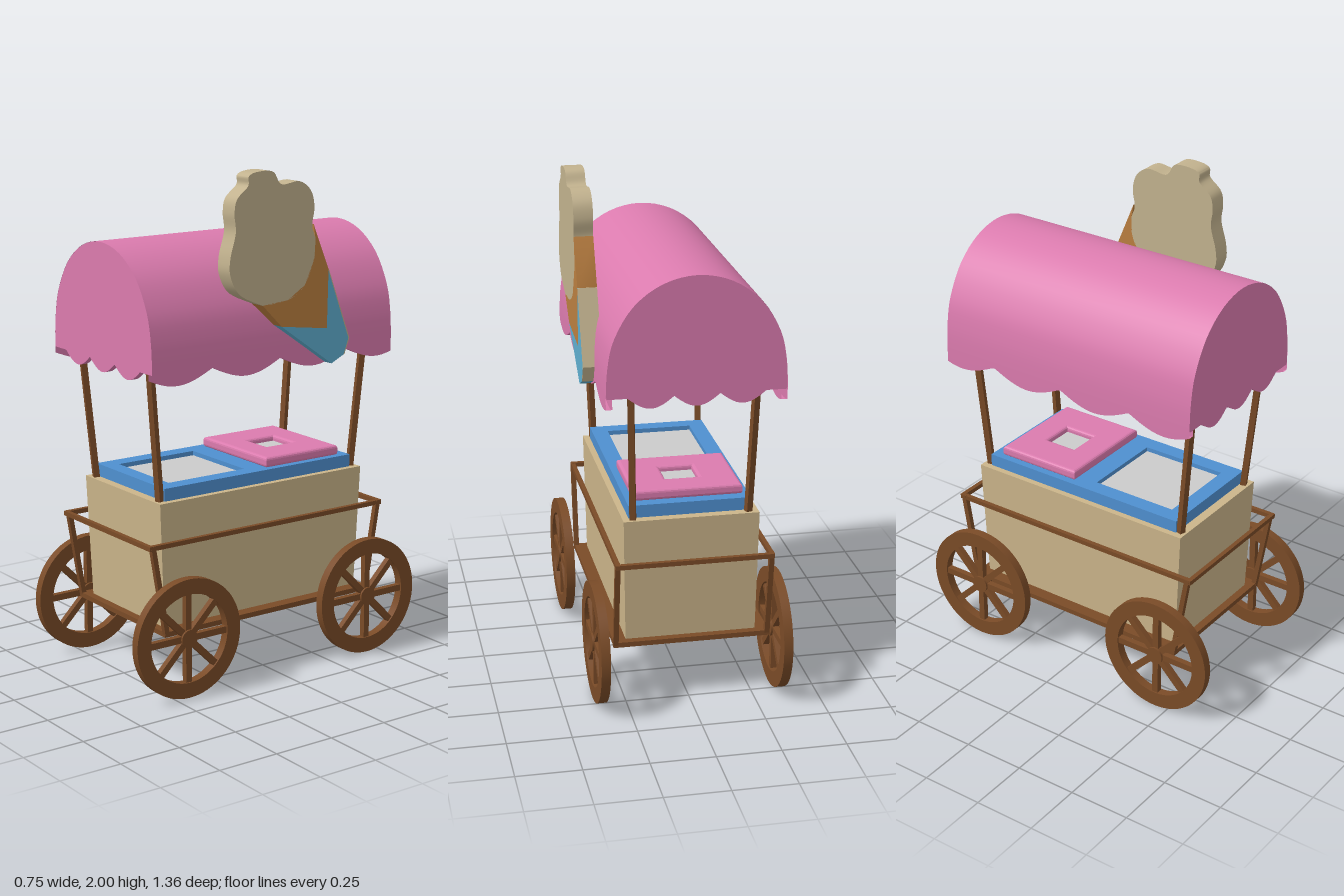
import * as THREE from 'three';
import { toCreasedNormals } from 'three/addons/utils/BufferGeometryUtils.js';

const mat = (color) => new THREE.MeshStandardMaterial({ color });
const brown = mat(0x7a4b27), pink = mat(0xdb7bae), tan = mat(0xcbb58a), blue = mat(0x4f90d0);
const sky = mat(0x5fafd0), orange = mat(0xbb7f40), cream = mat(0xc2b28e), grey = mat(0xcccccc);
pink.side = THREE.DoubleSide;
const CX = -0.013; // the cart's centre line

function add(parent, name, geometry, material, x = 0, y = 0, z = 0) {
  const mesh = new THREE.Mesh(geometry, material);
  mesh.name = name;
  mesh.position.set(x, y, z);
  parent.add(mesh);
  return mesh;
}

// Square bar between two points
function bar(parent, name, a, b, w) {
  const from = new THREE.Vector3(...a), to = new THREE.Vector3(...b);
  const mesh = add(parent, name, new THREE.BoxGeometry(w, w, from.distanceTo(to) + w * 0.8), brown);
  mesh.position.copy(from).lerp(to, 0.5);
  mesh.lookAt(to);
}

const shapeOf = (pts) => new THREE.Shape(pts.map((p) => new THREE.Vector2(...p)));
const rect = (w, d, x = 0, z = 0) => shapeOf([
  [x - w / 2, z - d / 2], [x + w / 2, z - d / 2], [x + w / 2, z + d / 2], [x - w / 2, z + d / 2]]);

// Flat slab with a window; shape y points to -z
function slab(outer, hole, depth, bevel = 0) {
  outer.holes.push(hole);
  const g = new THREE.ExtrudeGeometry(outer, {
    depth: depth - 2 * bevel, bevelEnabled: bevel > 0, bevelSize: bevel, bevelThickness: bevel,
    bevelOffset: -bevel, bevelSegments: 3 });
  return g.translate(0, 0, bevel).rotateX(-Math.PI / 2);
}

function wheel() {
  const group = new THREE.Group();
  const rim = new THREE.Shape().absarc(0, 0, 0.238, 0, Math.PI * 2);
  rim.holes.push(new THREE.Path().absarc(0, 0, 0.177, 0, Math.PI * 2, true));
  const g = new THREE.ExtrudeGeometry(rim, { depth: 0.036, bevelEnabled: false, curveSegments: 36 });
  add(group, 'rim', toCreasedNormals(g.translate(0, 0, -0.018).rotateY(Math.PI / 2), 0.6), brown);
  for (let i = 0; i < 4; i++) {
    add(group, 'spokePair', new THREE.BoxGeometry(0.024, 0.37, 0.026), brown).rotation.x = i * Math.PI / 4;
  }
  add(group, 'hub', new THREE.CylinderGeometry(0.036, 0.036, 0.04, 20).rotateZ(Math.PI / 2), brown);
  return group;
}

function canopy() {
  const group = new THREE.Group();
  const half = [[0.343, 1.29], [0.337, 1.39], [0.312, 1.5], [0.24, 1.62], [0.13, 1.7]];
  const knots = [...half.map(([x, y]) => [-x, y]), [0, 1.728], ...half.map(([x, y]) => [x, y]).reverse()];
  const arch = new THREE.SplineCurve(knots.map((p) => new THREE.Vector2(...p))).getPoints(40);
  const Z = 0.573, steps = 72;

  // Curved roof: thick arch section swept along z, its hem following the scallops
  const ring = (z) => {
    const hem = 1.27 - 0.05 * Math.abs(Math.sin(Math.PI * (z + 0.02) / 0.32));
    const outer = [[-0.343, hem], ...arch.map((p) => [p.x, p.y]), [0.343, hem]];
    const inner = outer.map(([x, y]) => [x * 0.93, y > 1.285 ? 1.285 + (y - 1.285) * 0.95 : y]).reverse();
    return [...outer, ...inner];
  };
  const pos = [], idx = [], n = ring(0).length;
  for (let j = 0; j <= steps; j++) {
    const z = -Z + 2 * Z * j / steps;
    for (const [x, y] of ring(z)) pos.push(x, y, z);
    for (let i = 0; i < n && j < steps; i++) {
      const a = j * n + i, b = j * n + (i + 1) % n;
      idx.push(a, a + n, b, b, a + n, b + n);
    }
  }
  const g = new THREE.BufferGeometry();
  g.setAttribute('position', new THREE.Float32BufferAttribute(pos, 3));
  g.setIndex(idx);
  add(group, 'canopyRoof', toCreasedNormals(g, 0.6), pink);

  // End panels with three scallops between short straight corners
  const edge = arch.map((p) => [p.x * 0.998, p.y - 0.001]);
  edge.push([0.34, 1.272]);
  for (let i = 0; i <= 36; i++) {
    const x = 0.262 - 0.524 * i / 36;
    edge.push([x, 1.272 - 0.044 * Math.abs(Math.sin(Math.PI * i / 12))]);
  }
  edge.push([-0.34, 1.272]);
  for (const z of [-Z, Z - 0.025]) {
    add(group, 'canopyEnd', new THREE.ExtrudeGeometry(shapeOf(edge), { depth: 0.025, bevelEnabled: false }), pink, 0, 0, z);
  }
  group.position.x = CX;
  return group;
}

// Upright sign plate; points are given as [z, y]
function sign() {
  const group = new THREE.Group();
  const plate = (name, shape, material) => {
    const g = new THREE.ExtrudeGeometry(shape, { depth: 0.075, bevelEnabled: false, curveSegments: 5 });
    add(group, name, toCreasedNormals(g.rotateY(-Math.PI / 2), 0.6), material, 0.374);
  };
  const scoop = new THREE.Shape();
  scoop.moveTo(0.1, 1.49);
  scoop.splineThru([[-0.02, 1.5], [-0.1, 1.55], [-0.145, 1.65], [-0.15, 1.72], [-0.133, 1.775], [-0.143, 1.845],
    [-0.125, 1.91], [-0.07, 1.948], [0.015, 1.942], [0.055, 1.992], [0.13, 1.995], [0.167, 1.98], [0.17, 1.945],
    [0.22, 1.9], [0.232, 1.845], [0.226, 1.775], [0.25, 1.685], [0.25, 1.615], [0.205, 1.54], [0.1, 1.49]]
    .map((p) => new THREE.Vector2(...p)));
  plate('signScoop', scoop, cream);
  plate('signCone', shapeOf([[0.1, 1.49], [0.01, 1.4], [-0.21, 1.37], [-0.215, 1.6], [-0.14, 1.78],
    [-0.15, 1.72], [-0.145, 1.65], [-0.1, 1.55], [-0.02, 1.5]]), orange);
  plate('signWrapper', shapeOf([[0.01, 1.4], [-0.235, 1.228], [-0.295, 1.257], [-0.318, 1.32],
    [-0.213, 1.6], [-0.21, 1.37]]), sky);
  plate('signWrapperEdge', shapeOf([[-0.295, 1.257], [-0.299, 1.257], [-0.323, 1.32], [-0.217, 1.6], [-0.213, 1.6], [-0.318, 1.32]]), cream);
  return group;
}

export function createModel() {
  const model = new THREE.Group();
  model.name = 'streetFoodCart';

  // Body, a little wider at the top
  const box = new THREE.BoxGeometry(0.53, 0.51, 0.98);
  const p = box.attributes.position;
  for (let i = 0; i < p.count; i++) {
    if (p.getY(i) < 0) p.setXYZ(i, p.getX(i) * 0.97, p.getY(i), p.getZ(i) * 0.955);
  }
  box.computeVertexNormals();
  add(model, 'body', box, tan, CX, 0.495, 0);
  add(model, 'floor', new THREE.BoxGeometry(0.615, 0.02, 1.0), brown, CX, 0.243, 0);

  // Counter, freezer window and raised lid
  add(model, 'counter', slab(rect(0.48, 0.906), rect(0.35, 0.36, 0, -0.21), 0.05), blue, CX, 0.75, 0);
  add(model, 'freezerWindow', new THREE.BoxGeometry(0.35, 0.02, 0.36), grey, CX, 0.772, 0.21);
  add(model, 'lid', slab(rect(0.43, 0.36), rect(0.13, 0.13), 0.042, 0.012), pink, CX, 0.798, -0.23);
  add(model, 'lidWindow', new THREE.BoxGeometry(0.15, 0.02, 0.15), grey, CX, 0.808, -0.23);

  // Railing, posts and canopy poles
  const rx = 0.3, rz = 0.56;
  for (const s of [-1, 1]) {
    bar(model, 'sideRail', [CX + s * rx, 0.597, -rz], [CX + s * rx, 0.597, rz], 0.018);
    bar(model, 'endRail', [CX - rx, 0.597, s * rz], [CX + rx, 0.597, s * rz], 0.018);
    for (const t of [-1, 1]) {
      bar(model, 'railPost', [CX + s * rx, 0.243, t * 0.49], [CX + s * rx, 0.597, t * 0.55], 0.02);
      bar(model, 'canopyPole', [CX + s * 0.225, 0.74, t * 0.465], [CX + s * 0.24, 1.28, t * 0.515], 0.024);
      const w = wheel();
      w.name = 'wheel';
      w.position.set(s * 0.355, 0.239, t * 0.44);
      model.add(w);
    }
  }

  const roof = canopy();
  roof.name = 'canopy';
  const board = sign();
  board.name = 'iceCreamSign';
  model.add(roof, board);
  return model;
}
